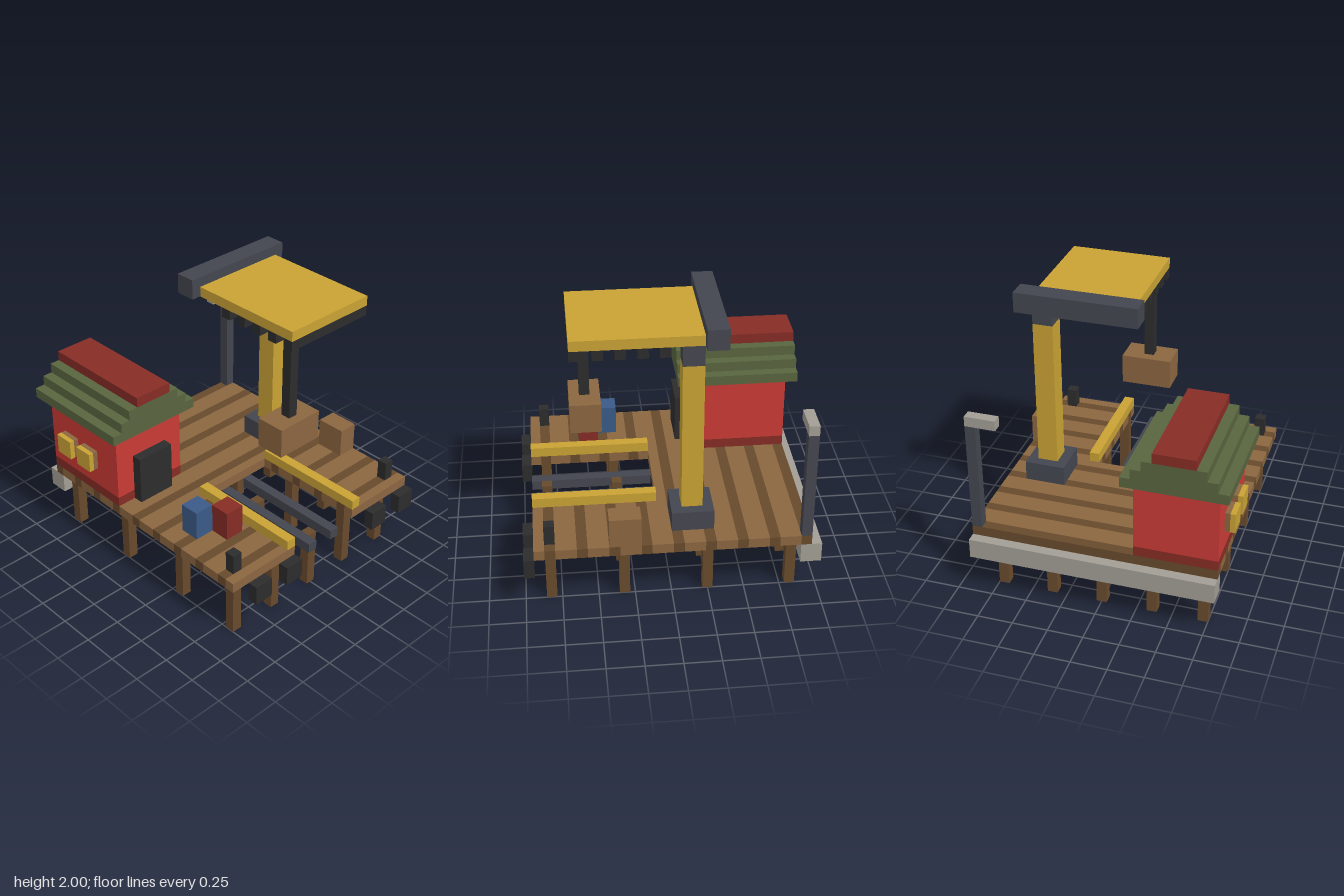
import * as THREE from 'three';

const U = 1 / 14; // one block

const mat = (name, color) => {
  const m = new THREE.MeshStandardMaterial({ color });
  m.name = name;
  return m;
};

export function createModel() {
  const model = new THREE.Group();
  model.name = 'dockWithCrane';

  const plank = mat('plank brown', 0x8b6640);
  const timber = mat('dark timber', 0x684a2c);
  const slate = mat('slate steel', 0x44464f);
  const yellow = mat('crane yellow', 0xc9a234);
  const red = mat('wall red', 0xc93a35);
  const darkRed = mat('dark red', 0x862c25);
  const green = mat('roof green', 0x59653f);
  const black = mat('black', 0x2c2c2c);
  const blue = mat('barrel blue', 0x3a5a87);
  const stone = mat('stone grey', 0xa29e95);

  const group = (name) => {
    const g = new THREE.Group();
    g.name = name;
    model.add(g);
    return g;
  };

  // Box between block coordinates: x 0..25, y 0..28, z 0..28
  const box = (parent, name, material, [x0, x1], [y0, y1], [z0, z1]) => {
    const geo = new THREE.BoxGeometry((x1 - x0) * U, (y1 - y0) * U, (z1 - z0) * U);
    const mesh = new THREE.Mesh(geo, material);
    mesh.name = name;
    mesh.position.set(((x0 + x1) / 2 - 12.5) * U, ((y0 + y1) / 2) * U, ((z0 + z1) / 2 - 14) * U);
    parent.add(mesh);
    return mesh;
  };

  // Deck: wide light planks and narrow dark ones, with a slot at the front
  const deck = group('deck');
  for (let z = 1; z < 27; z++) {
    const dark = z % 3 === 1;
    const spans = z < 15 ? [[1, 25]] : [[1, 9], [17, 25]];
    for (const span of spans) box(deck, 'plank', dark ? timber : plank, span, [6, 7], [z, z + 1]);
  }

  // Piles
  const piles = group('piles');
  for (const x of [2, 7, 12, 17, 22])
    for (const z of [2, 10, 18, 25]) box(piles, 'pile', timber, [x, x + 1], [0, 6], [z, z + 1]);

  // Quay wall, fenders and bollards
  const quay = group('quayFittings');
  box(quay, 'quayWall', stone, [1, 25], [4, 6], [0, 2]);
  for (const x of [3, 7, 19, 23]) box(quay, 'fender', black, [x, x + 2], [4, 6], [27, 28]);
  for (const x of [2, 23]) box(quay, 'bollard', black, [x, x + 1], [7, 9], [25, 26]);

  // Slipway: low rails in the slot and yellow kerbs beside it
  const slipway = group('slipway');
  for (const x of [11, 14]) box(slipway, 'slipRail', slate, [x, x + 1], [5, 6], [15, 27]);
  for (const x of [8, 17]) box(slipway, 'kerb', yellow, [x, x + 1], [7, 8], [15, 27]);

  // Shed
  const shed = group('shed');
  box(shed, 'shedBase', darkRed, [1, 9], [7, 8], [1, 11]);
  box(shed, 'shedWalls', red, [1, 9], [8, 15], [1, 11]);
  for (let i = 0; i < 3; i++) box(shed, 'roofStep', green, [i, 10 - i], [15 + i, 16 + i], [0, 12]);
  box(shed, 'roofRidge', darkRed, [3, 7], [18, 19], [0, 12]);
  box(shed, 'door', black, [3, 7], [7, 12], [11, 12]);
  for (const z of [3, 6]) {
    box(shed, 'windowFrame', plank, [0.5, 1], [10, 12], [z, z + 2]);
    box(shed, 'windowPane', yellow, [0, 0.5], [10, 12], [z, z + 2]);
  }

  // Crane
  const crane = group('crane');
  box(crane, 'craneBase', slate, [19, 23], [7, 9], [10, 14]);
  box(crane, 'craneMast', yellow, [20, 22], [9, 24], [11, 13]);
  box(crane, 'mastHead', slate, [20, 22], [24, 26], [11, 13]);
  box(crane, 'boom', yellow, [12, 22], [26, 27], [11, 23]);
  box(crane, 'counterweight', slate, [11, 23], [26, 28], [9, 11]);
  for (let z = 14; z < 23; z += 2) box(crane, 'boomSlat', black, [12, 22], [25, 26], [z, z + 1]);
  box(crane, 'cable', black, [13, 14], [17, 25], [21, 22]);
  box(crane, 'hangingCrate', plank, [11, 16], [14, 17], [20, 23]);

  // Cargo on the deck
  const cargo = group('cargo');
  box(cargo, 'blueBarrel', blue, [3, 5], [7, 10], [18, 20]);
  box(cargo, 'redBarrel', darkRed, [5, 7], [7, 10], [20, 22]);
  box(cargo, 'crate', plank, [23, 25], [7, 10], [17, 20]);

  // Lamp
  const lamp = group('lamp');
  box(lamp, 'lampPost', slate, [24, 25], [7, 18], [1, 2]);
  box(lamp, 'lampHead', stone, [22, 25], [18, 19], [1, 2]);

  return model;
}
